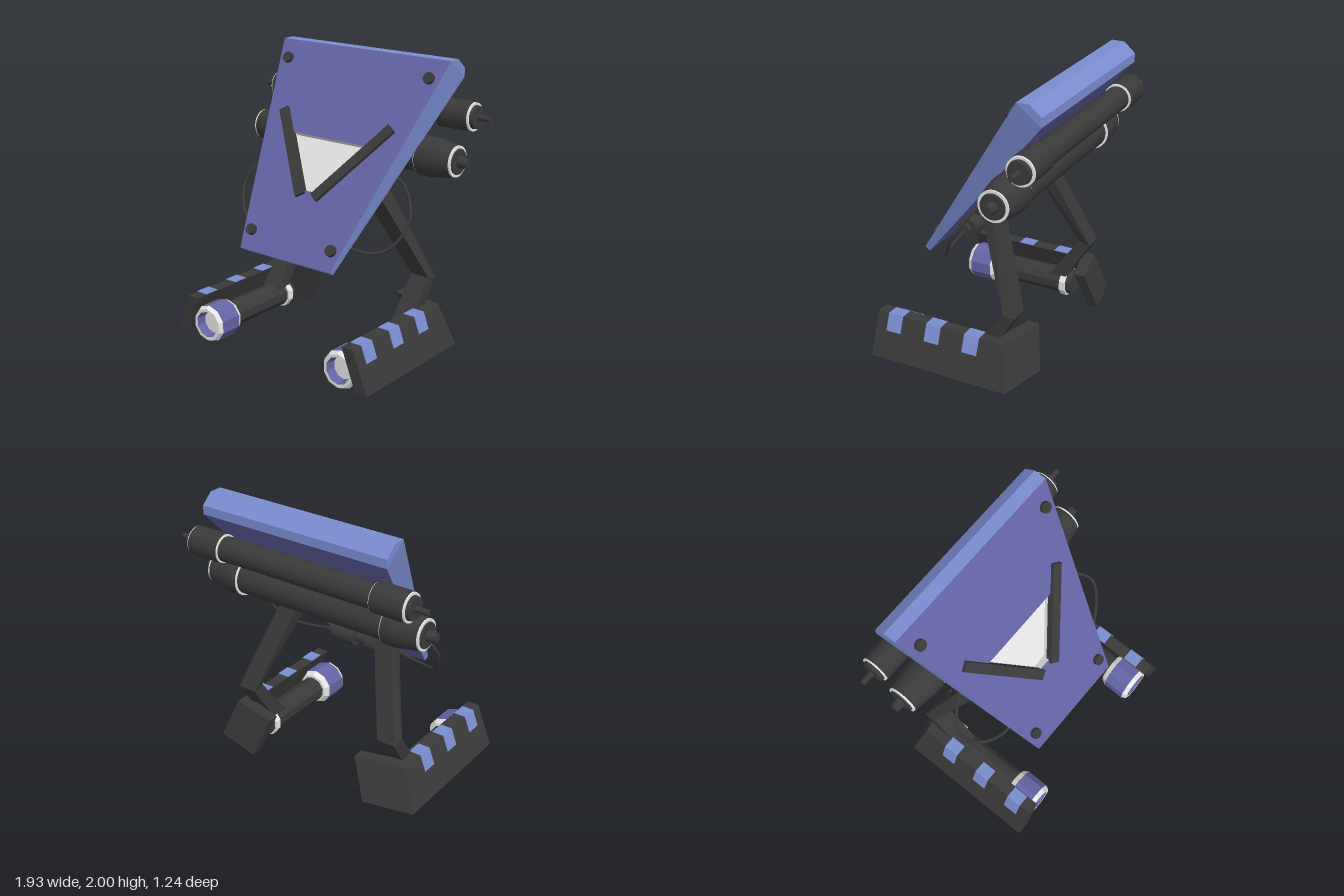
import * as THREE from 'three';
import { ConvexGeometry } from 'three/addons/geometries/ConvexGeometry.js';

const paint = (name, color) => {
  const m = new THREE.MeshStandardMaterial({ color });
  m.name = name;
  return m;
};
const V = (x, y, z) => new THREE.Vector3(x, y, z);

export function createModel() {
  const purple = paint('purple', 0x6464a5);
  const blue = paint('blue', 0x7a8dd0);
  const dark = paint('charcoal', 0x3a3a3a);
  const white = paint('lightGrey', 0xe6e6e6);
  const model = new THREE.Group();
  model.name = 'shieldWalker';

  const add = (parent, name, geo, mat) => {
    const mesh = new THREE.Mesh(geo, mat);
    mesh.name = name;
    parent.add(mesh);
    return mesh;
  };
  const hull = (...pts) => new ConvexGeometry(pts.map(p => V(...p)));

  // flat quads turned away from (sign 1) or towards (sign -1) a centre
  const quads = (list, centre, sign = 1) => {
    const pos = [];
    for (const q of list) {
      const [a, b, c, d] = q.map(p => V(...p));
      const n = b.clone().sub(a).cross(c.clone().sub(a));
      const out = n.dot(a.clone().add(c).multiplyScalar(0.5).sub(centre)) * sign > 0;
      for (const p of out ? [a, b, c, a, c, d] : [a, c, b, a, d, c]) pos.push(p.x, p.y, p.z);
    }
    const g = new THREE.BufferGeometry();
    g.setAttribute('position', new THREE.Float32BufferAttribute(pos, 3));
    g.computeVertexNormals();
    return g;
  };
  // cylinder along x from x0 to x1
  const tubeX = (r0, r1, x0, x1, open = false) =>
    new THREE.CylinderGeometry(r1, r0, x1 - x0, 36, 1, open).rotateZ(-Math.PI / 2).translate((x0 + x1) / 2, 0, 0);
  // faceted ten-sided turning along z, points are [radius, z]
  const turnedZ = pts => {
    const g = new THREE.LatheGeometry(pts.map(p => new THREE.Vector2(...p)), 10)
      .rotateX(Math.PI / 2).toNonIndexed();
    g.computeVertexNormals();
    return g;
  };

  // ---- leaning shield: local y runs up the slope, local z is its normal ----
  const shield = new THREE.Group();
  shield.name = 'shield';
  shield.position.set(0, 0.71, 0.44);
  shield.rotation.x = -0.588;
  model.add(shield);

  // profile [half width, along slope, normal]
  const prof = [[0.39, 0, 0], [0.71, 1.55, 0], [0.71, 1.6, -0.075], [0.71, 1.586, -0.18], [0.71, 1.536, -0.214], [0.388, 0, -0.043]];
  const at = (i, s) => [prof[i][0] * s, prof[i][1], prof[i][2]];
  const strip = (i, j) => [at(i, 1), at(j, 1), at(j, -1), at(i, -1)];
  const core = V(0, 0.8, -0.07);
  const rim = [strip(1, 2), strip(2, 3), strip(3, 4), strip(5, 0)];
  for (const s of [1, -1]) {
    rim.push([at(0, s), at(1, s), at(4, s), at(5, s)]);
    rim.push([at(1, s), at(2, s), at(3, s), at(4, s)]);
  }
  add(shield, 'shieldRim', quads(rim, core), blue);
  add(shield, 'shieldBack', quads([strip(4, 5)], core), purple);

  // front face with a tapered opening
  const v2 = pts => pts.map(p => new THREE.Vector2(...p));
  const opening = [[-0.05, 0.493], [0.05, 0.493], [0.32, 0.877], [-0.32, 0.877]];
  const face = new THREE.Shape(v2([[-0.39, 0], [0.39, 0], [0.71, 1.55], [-0.71, 1.55]]));
  face.holes.push(new THREE.Path(v2([...opening].reverse())));
  add(shield, 'shieldFace', new THREE.ShapeGeometry(face), purple);
  const depth = -0.06;
  add(shield, 'windowFloor', new THREE.ShapeGeometry(new THREE.Shape(v2(opening))).translate(0, 0, depth), white);
  add(shield, 'windowWalls', quads(opening.map((p, i) => {
    const q = opening[(i + 1) % 4];
    return [[...p, 0], [...q, 0], [...q, depth], [...p, depth]];
  }), V(0, 0.75, -0.03), -1), white);

  // chevron bars and bolts
  for (const s of [1, -1]) {
    const bar = add(shield, 'chevronBar', new THREE.BoxGeometry(0.07, 0.7, 0.05), dark);
    bar.position.set(0.26 * s, 0.74, 0);
    bar.rotation.z = -s * Math.atan2(0.4, 0.57);
    for (const [x, v] of [[0.6, 1.405], [0.345, 0.14]]) {
      const bolt = add(shield, 'bolt', new THREE.CylinderGeometry(0.039, 0.039, 0.05, 12).rotateX(Math.PI / 2), dark);
      bolt.position.set(x * s, v, 0.003);
    }
  }

  // slatted vent on the back
  add(shield, 'ventBox', new THREE.BoxGeometry(0.46, 0.28, 0.07), dark).position.set(0, 0.52, -0.105);
  for (let i = 0; i < 7; i++) {
    add(shield, 'ventSlat', new THREE.BoxGeometry(0.42, 0.02, 0.016), dark).position.set(0, 0.40 + i * 0.04, -0.146);
  }

  // ---- cross cylinders behind the shield ----
  const upper = new THREE.Group();
  upper.name = 'upperCylinder';
  upper.position.set(0, 1.63, -0.52);
  const lower = new THREE.Group();
  lower.name = 'lowerCylinder';
  lower.position.set(0, 1.365, -0.335);
  model.add(upper, lower);
  add(upper, 'upperBody', tubeX(0.085, 0.085, -0.62, 0.62), dark);
  add(lower, 'lowerBody', tubeX(0.118, 0.118, -0.62, 0.62), dark);
  for (const s of [1, -1]) {
    const a = new THREE.Group(), b = new THREE.Group();
    a.name = 'upperEnd';
    b.name = 'lowerEnd';
    a.rotation.y = b.rotation.y = s > 0 ? 0 : Math.PI;
    upper.add(a);
    lower.add(b);
    add(a, 'endRings', tubeX(0.096, 0.096, 0.594, 0.847), white);
    add(a, 'endSleeve', tubeX(0.1, 0.1, 0.6, 0.838, true), dark);
    add(a, 'endCap', tubeX(0.082, 0.075, 0.84, 0.872), dark);
    add(a, 'endRod', tubeX(0.02, 0.02, 0.86, 0.963), dark);
    add(b, 'innerRing', tubeX(0.132, 0.132, 0.574, 0.6), white);
    add(b, 'endSleeve', tubeX(0.135, 0.135, 0.58, 0.66, true), dark);
    add(b, 'endTaper', tubeX(0.135, 0.108, 0.66, 0.83), dark);
    add(b, 'outerRing', tubeX(0.106, 0.106, 0.825, 0.842), white);
    add(b, 'endCap', tubeX(0.088, 0.085, 0.84, 0.853), dark);
    add(b, 'endTip', tubeX(0.042, 0.03, 0.85, 0.917), dark);
  }

  // ---- double pods on the shield's back ----
  for (const [y, z] of [[1.26, -0.17], [0.835, 0.2]]) {
    const pod = new THREE.Group();
    pod.name = 'pod';
    pod.position.set(0, y, z);
    model.add(pod);
    add(pod, 'podAxle', tubeX(0.035, 0.035, -0.27, 0.27), dark);
    add(pod, 'podDrum', tubeX(0.07, 0.07, -0.23, -0.05), dark);
    add(pod, 'podDrum', tubeX(0.07, 0.07, 0.05, 0.23), dark);
  }

  // ---- leg, foot, lamp barrel and hose, built on the left and mirrored ----
  const side = s => {
    const g = new THREE.Group();
    g.name = s > 0 ? 'leftLeg' : 'rightLeg';
    g.scale.x = s;
    model.add(g);

    // leg section: centre x, then front and back edge
    const section = (x, yf, zf, yb, zb) => [
      [x - 0.07, yf, zf], [x + 0.07, yf, zf], [x - 0.07, yb, zb], [x + 0.07, yb, zb]];
    const knee = section(0.59, 0.52, -0.3, 0.5, -0.385);
    add(g, 'upperLeg', hull(...section(0.35, 1.18, 0, 1.25, -0.09), ...knee), dark);
    add(g, 'lowerLeg', hull(...knee, ...section(0.575, 0.2, -0.07, 0.2, -0.2)), dark);

    // foot: slanted outer slab and angled heel plate
    const slant = (x, z, back) => [[x, 0.33, z], [x + 0.11, 0.04, z - back]];
    const corner = [...slant(0.72, -0.34, 0.065), ...slant(0.63, -0.27, 0.065)];
    add(g, 'footSlab', hull(...corner, ...slant(0.72, 0.62, 0), ...slant(0.63, 0.62, 0)), dark);
    add(g, 'heelPlate', hull(...corner, ...slant(0.365, -0.42, 0.065), ...slant(0.365, -0.34, 0.065)), dark);

    // painted stripes folded over the slab's upper edge
    const fold = new THREE.Shape(v2([[0.635, 0.329], [0.719, 0.329], [0.76, 0.22], [0.767, 0.22], [0.724, 0.335], [0.635, 0.335]]));
    for (const z of [0.425, 0.13, -0.16]) {
      add(g, 'footStripe', new THREE.ExtrudeGeometry(fold, { depth: 0.11, bevelEnabled: false }).translate(0, 0, z), blue);
    }

    // faceted lamp barrel
    const lamp = new THREE.Group();
    lamp.name = 'lampBarrel';
    lamp.position.set(0.58, 0.137, 0);
    g.add(lamp);
    add(lamp, 'barrelBody', turnedZ([[0, -0.25], [0.093, -0.25], [0.093, 0.37]]), dark);
    add(lamp, 'rearRing', turnedZ([[0.09, -0.21], [0.108, -0.21], [0.108, -0.165], [0.09, -0.165]]), white);
    add(lamp, 'collar', turnedZ([[0.09, 0.365], [0.112, 0.368], [0.134, 0.405]]), white);
    add(lamp, 'muzzle', turnedZ([[0.134, 0.405], [0.134, 0.565]]), purple);
    add(lamp, 'lip', turnedZ([[0.134, 0.565], [0.118, 0.595], [0.095, 0.595]]), white);
    add(lamp, 'bore', turnedZ([[0.095, 0.595], [0.082, 0.53]]), purple);
    add(lamp, 'lens', turnedZ([[0.082, 0.53], [0, 0.53]]), white);

    // hose between the pods
    const path = new THREE.CatmullRomCurve3([
      V(0.24, 1.26, -0.17), V(0.45, 1.25, -0.14), V(0.61, 1.2, -0.08), V(0.715, 1.03, 0.02),
      V(0.64, 0.85, 0.12), V(0.5, 0.8, 0.19), V(0.24, 0.835, 0.2)]);
    add(g, 'hose', new THREE.TubeGeometry(path, 48, 0.011, 8), dark);
  };
  side(1);
  side(-1);
  return model;
}
